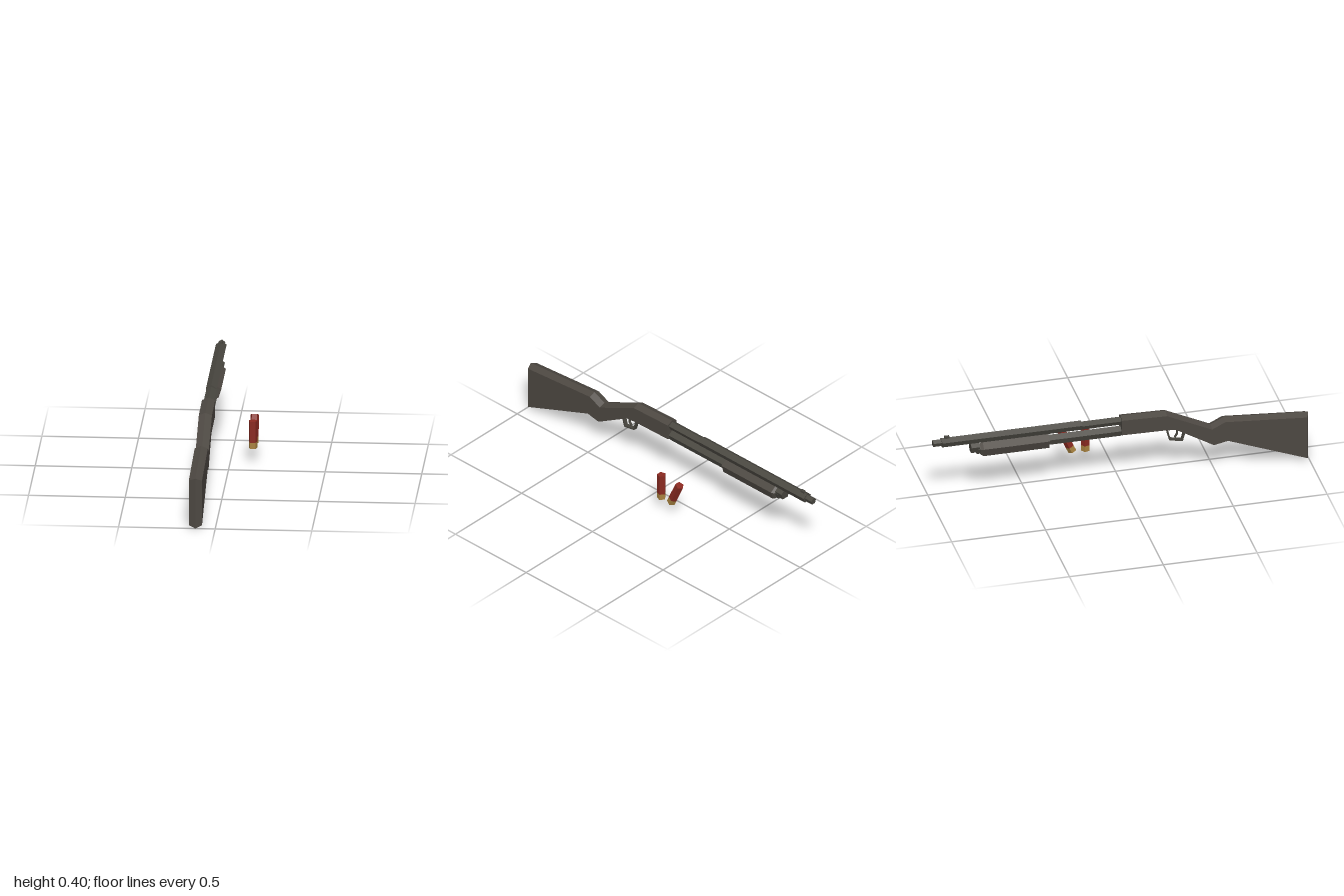
import * as THREE from 'three';

const GUN_X = -0.103;
const HALF = 0.034;

const make = (name, color, double) => {
  const m = new THREE.MeshStandardMaterial({ color, flatShading: true });
  m.name = name;
  if (double) m.side = THREE.DoubleSide;
  return m;
};

// Stock and receiver: flat sides with a raised centre ridge all round
function stockGeometry() {
  // centre line [z, y, inset y, inset z], from the butt's toe along the belly and back over the top
  const profile = [
    [1, 0.002, 0.014, -0.012], [0.565, 0.165, 0.014, 0], [0.49, 0.15, 0.014, 0],
    [0.29, 0.268, 0.014, 0], [0.24, 0.276, 0.012, 0], [0, 0.28, 0.012, 0],
    [0, 0.392, -0.014, 0], [0.24, 0.386, -0.014, 0], [0.48, 0.272, -0.014, 0],
    [0.55, 0.306, -0.014, 0], [1, 0.272, -0.014, -0.012],
  ];
  const centre = profile.map(([z, y]) => [0, y, z]);
  const side = (x) => profile.map(([z, y, dy, dz]) => [x, y + dy, z + dz]);
  const left = side(HALF), right = side(-HALF);
  const out = [];
  const quad = (a, b, c, d) => out.push(...a, ...b, ...c, ...a, ...c, ...d);
  profile.forEach((_, i) => {
    const j = (i + 1) % profile.length;
    quad(left[i], centre[i], centre[j], left[j]);
    quad(centre[i], right[i], right[j], centre[j]);
  });
  const flat = left.map(([, y, z]) => new THREE.Vector2(-z, y));
  for (const [a, b, c] of THREE.ShapeUtils.triangulateShape(flat, [])) {
    out.push(...left[a], ...left[b], ...left[c]);
    out.push(...right[c], ...right[b], ...right[a]);
  }
  const g = new THREE.BufferGeometry();
  g.setAttribute('position', new THREE.Float32BufferAttribute(out, 3));
  g.computeVertexNormals();
  return g;
}

export function createModel() {
  const model = new THREE.Group();
  const stockMat = make('stock brown', 0x4d4842);
  const metalMat = make('gun metal', 0x494740);
  const redMat = make('shell red', 0x8a2a21);
  const brassMat = make('brass', 0xa88240);

  const gun = new THREE.Group();
  gun.name = 'shotgun';
  gun.position.x = GUN_X;
  model.add(gun);

  const add = (parent, name, geometry, material, x = 0, y = 0, z = 0) => {
    const mesh = new THREE.Mesh(geometry, material);
    mesh.name = name;
    mesh.position.set(x, y, z);
    parent.add(mesh);
    return mesh;
  };

  // Five-sided bar along z, apex up; r1 is the radius at the muzzle end
  const bar = (name, y, z0, z1, r0, r1 = r0, widen = 1, mat = metalMat) => {
    const g = new THREE.CylinderGeometry(r1, r0, z0 - z1, 5).rotateX(-Math.PI / 2).scale(widen, 1, 1);
    return add(gun, name, g, mat, 0, y, (z0 + z1) / 2);
  };

  add(gun, 'stockAndReceiver', stockGeometry(), stockMat);

  // Barrel
  bar('barrelBreech', 0.363, 0, -0.21, 0.021, 0.021, 1.3);
  bar('barrel', 0.3665, -0.21, -0.955, 0.0255, 0.0255, 1.15);
  bar('muzzle', 0.367, -0.955, -1, 0.019);
  add(gun, 'frontSight', new THREE.BoxGeometry(0.014, 0.014, 0.025), metalMat, 0, 0.393, -0.925);

  // Magazine tube and sliding fore-end
  bar('magazineTube', 0.303, 0, -0.77, 0.028);
  bar('foreEnd', 0.3, -0.385, -0.735, 0.041, 0.041, 1, stockMat);
  bar('foreEndTip', 0.3, -0.735, -0.75, 0.041, 0.031, 1, stockMat);
  bar('magazineCap', 0.316, -0.755, -0.8, 0.031);
  add(gun, 'barrelBand', new THREE.BoxGeometry(0.014, 0.03, 0.03), metalMat, 0, 0.342, -0.775);

  // Thin rods between [z, y] points
  const rods = (name, points, width, thick) => {
    const group = new THREE.Group();
    group.name = name;
    gun.add(group);
    for (let i = 1; i < points.length; i++) {
      const [z0, y0] = points[i - 1], [z1, y1] = points[i];
      const length = Math.hypot(z1 - z0, y1 - y0) + thick * 0.6;
      const rod = add(group, name + 'Segment', new THREE.BoxGeometry(width, thick, length),
        metalMat, 0, (y0 + y1) / 2, (z0 + z1) / 2);
      rod.rotation.x = -Math.atan2(y1 - y0, z1 - z0);
    }
  };
  rods('triggerGuard', [[0.34, 0.25], [0.327, 0.203], [0.262, 0.215], [0.245, 0.28]], 0.022, 0.008);
  rods('trigger', [[0.3, 0.268], [0.302, 0.243], [0.29, 0.224]], 0.01, 0.008);

  // Shells: five-sided, brass base and red case
  const shell = (name, y, z, tilt) => {
    const group = new THREE.Group();
    group.name = name;
    group.position.set(0.118, y, z);
    group.rotation.x = tilt;
    model.add(group);
    const tube = (h) => new THREE.CylinderGeometry(0.0235, 0.0235, h, 5).rotateY(Math.PI);
    add(group, 'case', tube(0.114), redMat, 0, 0.0165, 0);
    add(group, 'brassBase', tube(0.033), brassMat, 0, -0.057, 0);
  };
  shell('uprightShell', 0.1555, -0.131, 0);
  shell('tiltedShell', 0.155, -0.23, -0.42);

  return model;
}
